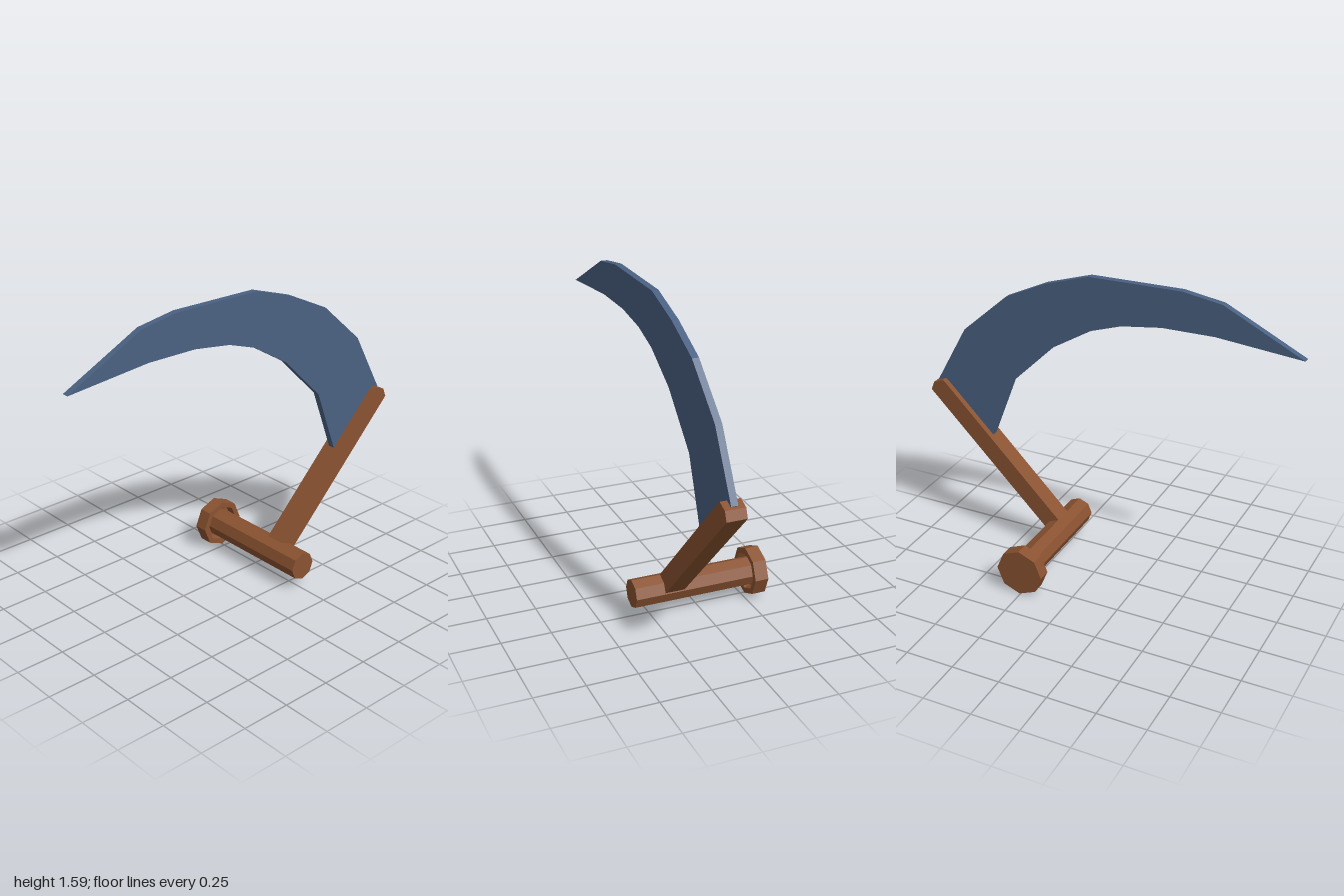
import * as THREE from 'three';

const wood = new THREE.MeshStandardMaterial({ color: 0x8a5230 });
wood.name = 'brown wood';
const steel = new THREE.MeshStandardMaterial({ color: 0x4a6182 });
steel.name = 'blue steel';

// Faceted normals for low-poly round parts
function faceted(geometry) {
  const g = geometry.toNonIndexed();
  g.computeVertexNormals();
  return g;
}

// Plate from a side outline of [z, y] points, spanning x0 to x1
function sidePlate(points, x0, x1) {
  const shape = new THREE.Shape(points.map(([z, y]) => new THREE.Vector2(-z, y)));
  const g = new THREE.ExtrudeGeometry(shape, { depth: x1 - x0, bevelEnabled: false });
  g.rotateY(Math.PI / 2);
  g.translate(x0, 0, 0);
  return g;
}

export function createModel() {
  const model = new THREE.Group();
  model.name = 'sickle';
  const add = (name, geometry, material) => {
    const mesh = new THREE.Mesh(geometry, material);
    mesh.name = name;
    model.add(mesh);
    return mesh;
  };

  // Octagonal grip lying along x
  const gripY = 0.125, gripZ = -0.255;
  const grip = new THREE.CylinderGeometry(0.073, 0.073, 0.65, 8);
  grip.rotateZ(-Math.PI / 2);
  add('grip', faceted(grip), wood).position.set(0.015, gripY, gripZ);

  // Pommel with a recess around the grip
  const profile = [
    [0, -0.34], [0.125, -0.34], [0.125, -0.27], [0.097, -0.27], [0.085, -0.3], [0, -0.3],
  ].map(([r, x]) => new THREE.Vector2(r, x));
  const pommel = new THREE.LatheGeometry(profile, 8);
  pommel.rotateZ(-Math.PI / 2);
  add('pommel', faceted(pommel), wood).position.set(0, gripY, gripZ);

  // Slanted arm with a chamfered end
  add('arm', sidePlate([
    [-0.32, 0.125], [-0.25, 0.195], [-0.908, 0.861], [-0.925, 0.874],
    [-0.979, 0.853], [-0.997, 0.807],
  ], 0.09, 0.19), wood);

  // Curved blade: outer edge from tip to heel, then inner edge back
  add('blade', sidePlate([
    [1.0, 1.36], [0.593, 1.56], [0.389, 1.59], [-0.088, 1.58], [-0.324, 1.503],
    [-0.55, 1.394], [-0.796, 1.174], [-0.968, 0.862],
    [-0.655, 0.59], [-0.523, 0.938], [-0.287, 1.174], [-0.078, 1.303],
    [0.083, 1.358], [0.292, 1.39], [0.56, 1.395],
  ], 0.122, 0.156), steel);

  return model;
}
